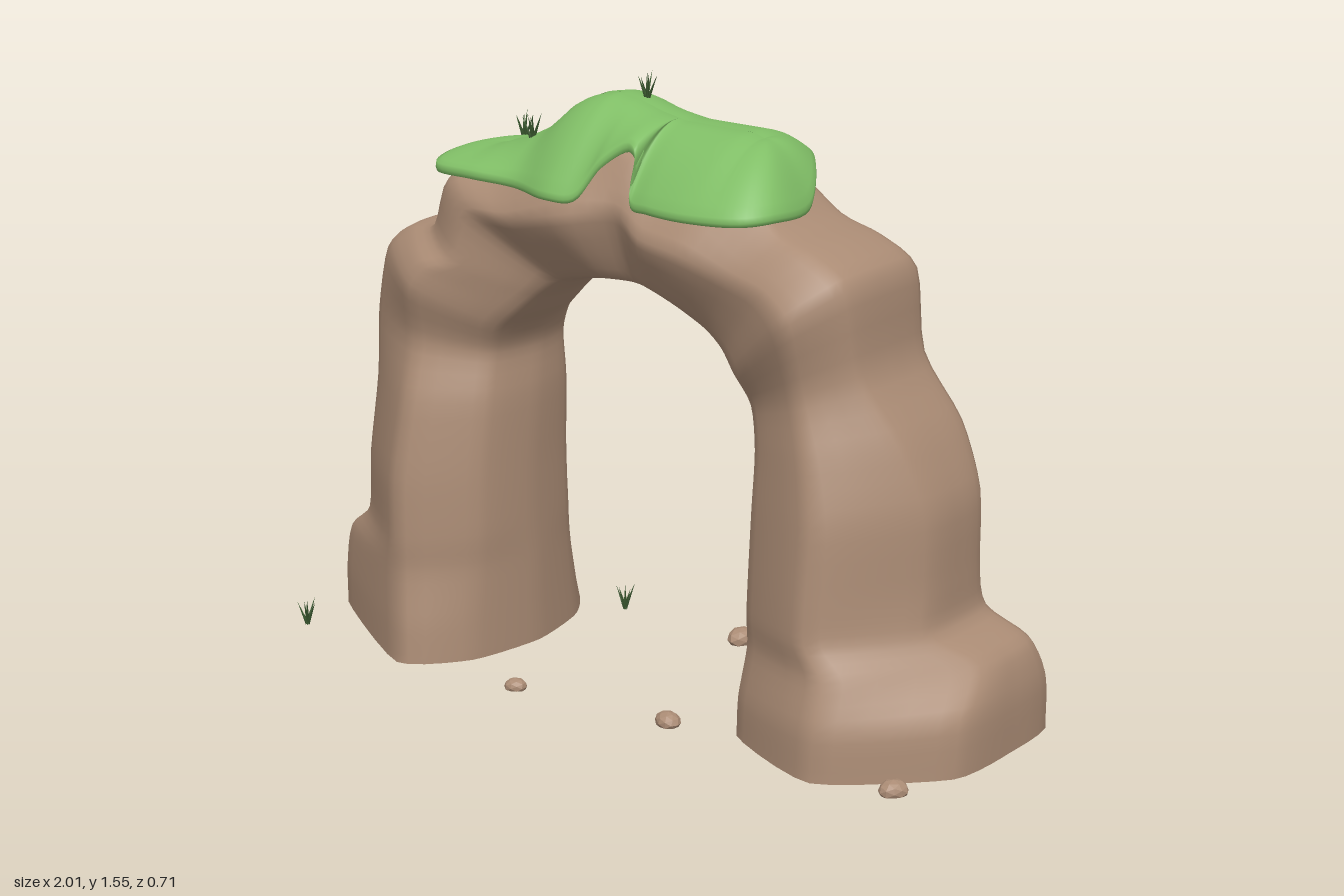
import * as THREE from 'three';

const rock = new THREE.MeshStandardMaterial({ color: 0xab8c75 });
rock.name = 'rock brown';
const moss = new THREE.MeshStandardMaterial({ color: 0x80be66, side: THREE.DoubleSide });
moss.name = 'moss green';
const grass = new THREE.MeshStandardMaterial({ color: 0x3f5f33, side: THREE.DoubleSide });
grass.name = 'grass dark green';

const { lerp, clamp } = THREE.MathUtils;

// Skin a list of closed rings of Vector3; optional flat end caps
function loft(rings, flip, caps) {
  const n = rings[0].length, pos = [], idx = [];
  const put = (p) => pos.push(p.x, p.y, p.z) / 3 - 1;
  rings.forEach((r) => r.forEach(put));
  for (let k = 0; k < rings.length - 1; k++) {
    for (let i = 0; i < n; i++) {
      const a = k * n + i, b = k * n + (i + 1) % n, c = a + n, d = b + n;
      if (flip) idx.push(a, c, b, b, c, d);
      else idx.push(a, b, c, b, d, c);
    }
  }
  if (caps) {
    [rings[0], rings[rings.length - 1]].forEach((r, end) => {
      const mid = new THREE.Vector3();
      r.forEach((p) => mid.addScaledVector(p, 1 / n));
      const c = put(mid), s = r.map(put);
      for (let i = 0; i < n; i++) {
        const a = s[i], b = s[(i + 1) % n];
        if (end) idx.push(c, b, a); else idx.push(c, a, b);
      }
    });
  }
  const g = new THREE.BufferGeometry();
  g.setAttribute('position', new THREE.Float32BufferAttribute(pos, 3));
  g.setIndex(idx);
  g.computeVertexNormals();
  return g;
}

// Arch sections: inner x,y, outer x,y, front z, back z,
// front ridge u, back ridge u, outer front z, outer back z
const leftLeg = [
  [-.38, 0, -1, 0, .34, -.36, .31, .28, .08, -.16],
  [-.38, .1, -1, .11, .33, -.34, .32, .3, .08, -.16],
  [-.38, .24, -.98, .22, .31, -.31, .36, .32, .08, -.15],
  [-.38, .34, -.89, .3, .31, -.29, .42, .35, .1, -.15],
  [-.38, .5, -.88, .46, .3, -.28, .44, .38, .1, -.17],
  [-.38, .68, -.845, .68, .26, -.28, .46, .42, .1, -.18],
  [-.39, .8, -.835, .86, .21, -.28, .48, .45, .1, -.18],
  [-.36, .87, -.78, 1.04, .24, -.26, .55, .5, .12, -.17],
  [-.31, .92, -.71, 1.1, .23, -.23, .6, .55, .11, -.16],
  [-.26, .97, -.61, 1.12, .21, -.21, .6, .6, .13, -.16],
];
const bridge = [
  [-.2, 1.01, -.54, 1.26, .2, -.2, .65, .65, .15, -.17],
  [-.14, 1.03, -.38, 1.29, .22, -.18, .6, .65, .13, -.13],
  [-.06, 1.04, -.14, 1.42, .25, -.22, .5, .6, .08, -.12],
  [.02, 1.04, .04, 1.385, .205, -.19, .6, .6, .14, -.12],
  [.09, 1.03, .16, 1.37, .23, -.2, .5, .6, .1, -.12],
  [.17, 1, .32, 1.36, .24, -.23, .5, .6, .1, -.13],
  [.24, .96, .46, 1.25, .22, -.22, .6, .65, .14, -.15],
];
const rightLeg = [
  [.29, .92, .57, 1.21, .23, -.23, .65, .65, .15, -.16],
  [.33, .87, .67, 1.14, .25, -.22, .65, .6, .15, -.17],
  [.36, .8, .69, .93, .2, -.22, .6, .55, .12, -.18],
  [.38, .7, .79, .77, .23, -.25, .56, .5, .09, -.2],
  [.38, .56, .855, .61, .26, -.24, .56, .5, .07, -.19],
  [.38, .4, .86, .42, .28, -.25, .56, .48, .07, -.19],
  [.38, .3, .87, .31, .29, -.28, .56, .45, .08, -.21],
  [.38, .22, .97, .24, .3, -.29, .56, .42, .02, -.25],
  [.37, .1, 1, .14, .34, -.32, .55, .38, .11, -.29],
  [.37, 0, 1, 0, .35, -.33, .55, .38, .13, -.3],
];

function archGeometry() {
  const around = 40, steps = 4;
  const sections = [...leftLeg, ...bridge, ...rightLeg].map(([xi, yi, xo, yo, zf, zb, uf, ub, of, ob]) => {
    const corners = [[0, (zf + zb) / 2], [.07, .62 * zf], [uf, zf], [.96, of],
      [1, (of + ob) / 2], [.96, ob], [ub, zb], [.07, .62 * zb]];
    const curve = new THREE.CatmullRomCurve3(
      corners.map(([u, z]) => new THREE.Vector3(lerp(xi, xo, u), lerp(yi, yo, u), z)), true, 'catmullrom', .28);
    return Array.from({ length: around }, (_, i) => curve.getPoint(i / around));
  });
  const rails = sections[0].map((_, i) =>
    new THREE.CatmullRomCurve3(sections.map((s) => s[i]), false, 'catmullrom', .4));
  const count = (sections.length - 1) * steps;
  const rings = Array.from({ length: count + 1 }, (_, k) => rails.map((r) => r.getPoint(k / count)));
  return loft(rings, true, true);
}

// Moss cap: rim as x,y,z points, and ridge heights as x,y
const rim = [
  [-.57, 1.28, .08], [-.55, 1.265, .17], [-.42, 1.265, .2], [-.28, 1.26, .2], [-.14, 1.255, .25],
  [-.06, 1.26, .24], [-.01, 1.34, .2], [.05, 1.385, .17], [.08, 1.37, .18], [.088, 1.26, .21],
  [.15, 1.255, .23], [.28, 1.255, .25], [.42, 1.26, .23], [.47, 1.265, .16], [.46, 1.265, 0],
  [.41, 1.33, -.1], [.32, 1.345, -.2], [.22, 1.32, -.26], [.1, 1.35, -.21], [0, 1.37, -.19],
  [-.1, 1.36, -.25], [-.2, 1.35, -.25], [-.28, 1.32, -.17], [-.4, 1.275, -.18], [-.5, 1.27, -.2],
  [-.55, 1.28, -.08],
];
const ridge = [[-.46, 1.325], [-.36, 1.355], [-.28, 1.395], [-.2, 1.465], [-.15, 1.485], [-.1, 1.493],
  [-.04, 1.482], [.03, 1.46], [.1, 1.445], [.2, 1.442], [.3, 1.44], [.34, 1.425]];

function ridgeHeight(x) {
  const k = clamp(ridge.findIndex((p) => p[0] >= x), 1, ridge.length - 1);
  const [a, b] = [ridge[k - 1], ridge[k]];
  return lerp(a[1], b[1], (x - a[0]) / (b[0] - a[0]));
}

function mossGeometry() {
  const curve = new THREE.CatmullRomCurve3(rim.map((p) => new THREE.Vector3(...p)), true, 'centripetal');
  const edge = Array.from({ length: 156 }, (_, i) => curve.getPoint(i / 156));
  // Each ring: inward fraction, lift above the rim
  const profile = [[.2, .01], [.04, -.002], [.005, .004], [-.01, .015], [0, .028]];
  for (let i = 1; i <= 12; i++) profile.push([i / 12, .028 * (1 - i / 12)]);
  const rings = profile.map(([t, lift]) => edge.map((p) => {
    const x = clamp(p.x, -.45, .33);
    const dome = 1 - Math.pow(1 - Math.max(t, 0), 1.8);
    return new THREE.Vector3(lerp(p.x, x, t), lerp(p.y, ridgeHeight(x), dome) + lift, p.z * (1 - t));
  }));
  return loft(rings, false, false);
}

// Small squashed stone, cut flat at the ground
function pebble(x, z, r, turn) {
  const g = new THREE.IcosahedronGeometry(r, 1);
  const p = g.attributes.position;
  for (let i = 0; i < p.count; i++) {
    const bump = 1 + .12 * Math.sin(p.getX(i) / r * 3 + turn) * Math.cos(p.getZ(i) / r * 2 + turn);
    p.setXYZ(i, p.getX(i) * bump, Math.max(0, p.getY(i) * .7 + r * .25), p.getZ(i) * .85 * bump);
  }
  g.computeVertexNormals();
  const m = new THREE.Mesh(g, rock);
  m.name = 'pebble';
  m.position.set(x, 0, z);
  m.rotation.y = turn;
  return m;
}

// Fan of thin pointed blades
function tuft(x, y, z, turn) {
  const group = new THREE.Group();
  group.name = 'grassTuft';
  for (let i = 0; i < 6; i++) {
    const h = i ? .06 + .008 * (i % 3) : .07;
    const g = new THREE.ConeGeometry(.006, h, 3);
    g.translate(0, h / 2, 0);
    const blade = new THREE.Mesh(g, grass);
    blade.name = 'grassBlade';
    blade.rotation.order = 'YXZ';
    blade.rotation.set(i ? .38 : 0, turn + i * 1.257, 0);
    group.add(blade);
  }
  group.position.set(x, y, z);
  return group;
}

export function createModel() {
  const model = new THREE.Group();
  model.name = 'rockArch';
  const arch = new THREE.Mesh(archGeometry(), rock);
  arch.name = 'stoneArch';
  const cap = new THREE.Mesh(mossGeometry(), moss);
  cap.name = 'mossCap';
  model.add(arch, cap);
  [[-.92, -.245, .028, .3], [.06, -.31, .043, 1], [-.21, .3, .03, .2], [.24, .26, .036, 2.9], [.905, .285, .038, .7]]
    .forEach((p) => model.add(pebble(...p)));
  [[-.34, 0, -.33, 0], [-.95, 0, .27, .5], [-.485, 1.315, -.1, 1], [-.32, 1.355, .07, .3], [-.04, 1.475, -.03, .8]]
    .forEach((p) => model.add(tuft(...p)));
  return model;
}
